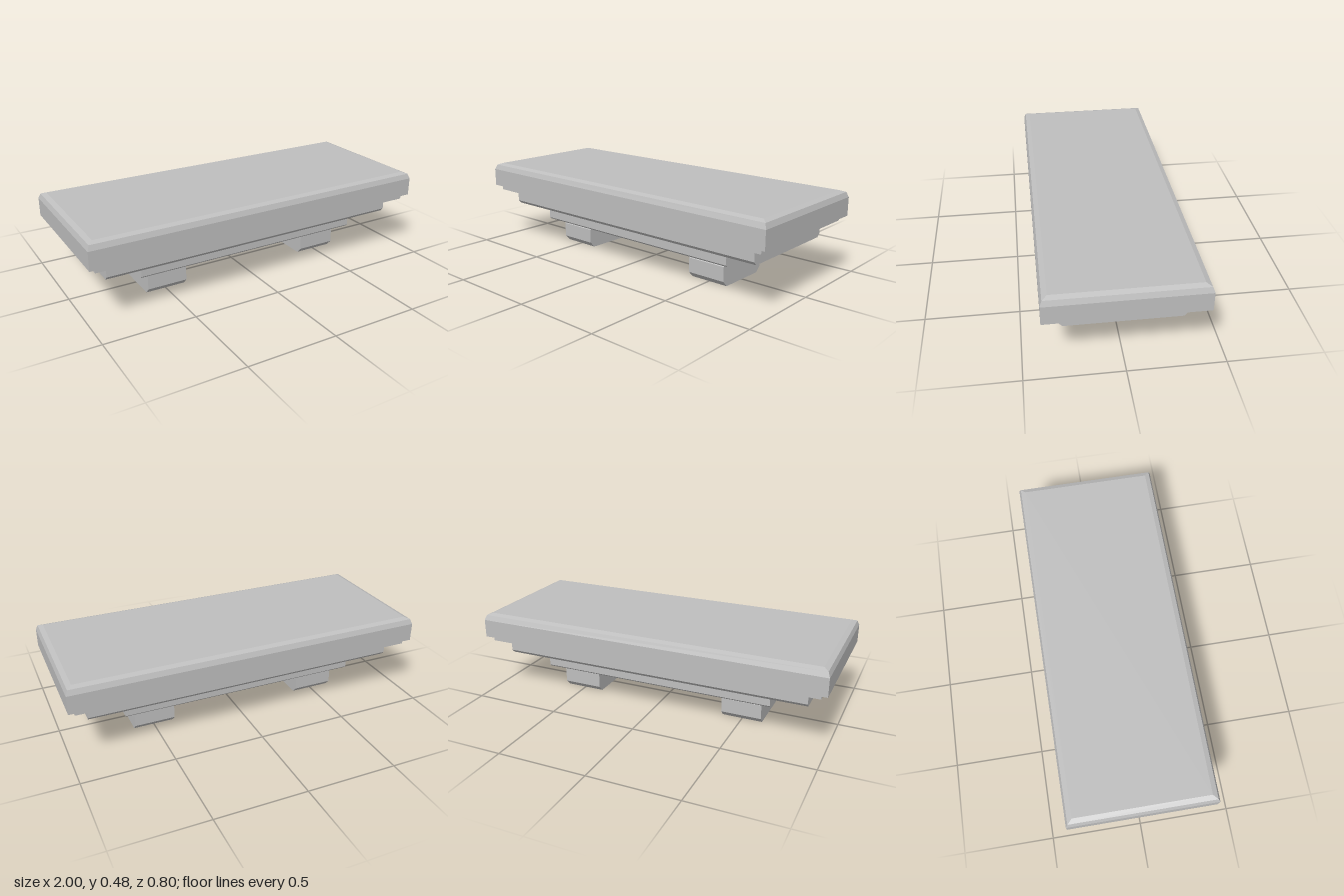
import * as THREE from 'three';

const stone = new THREE.MeshStandardMaterial({ color: 0xbebebe });
stone.name = 'grey stone';

// Symmetric side profile, given as [half depth, height] from bottom to top, extruded along x
function bar(name, profile, width, x = 0) {
  const mirrored = profile.map(([z, y]) => [-z, y]).reverse();
  const shape = new THREE.Shape([...profile, ...mirrored].map(([z, y]) => new THREE.Vector2(z, y)));
  const geo = new THREE.ExtrudeGeometry(shape, { depth: width, bevelEnabled: false });
  geo.translate(0, 0, -width / 2).rotateY(Math.PI / 2).translate(x, 0, 0);
  const mesh = new THREE.Mesh(geo, stone);
  mesh.name = name;
  return mesh;
}

// Stack of rectangular rings [inset, height], with flat faces and mitred corners
function mitredSlab(name, halfX, halfZ, rings) {
  const pos = [];
  const loops = rings.map(([inset, y]) => {
    const x = halfX - inset, z = halfZ - inset;
    return [[-x, y, z], [x, y, z], [x, y, -z], [-x, y, -z]];
  });
  const quad = (a, b, c, d) => pos.push(...a, ...b, ...c, ...a, ...c, ...d);
  for (let i = 0; i < loops.length - 1; i++) {
    for (let k = 0; k < 4; k++) {
      const n = (k + 1) % 4;
      quad(loops[i][k], loops[i][n], loops[i + 1][n], loops[i + 1][k]);
    }
  }
  quad(...loops[loops.length - 1]);
  quad(...[...loops[0]].reverse());
  const geo = new THREE.BufferGeometry();
  geo.setAttribute('position', new THREE.Float32BufferAttribute(pos, 3));
  geo.computeVertexNormals();
  const mesh = new THREE.Mesh(geo, stone);
  mesh.name = name;
  return mesh;
}

export function createModel() {
  const group = new THREE.Group();
  group.name = 'steppedBench';

  // Top slab with a two-step bevel around its upper rim
  group.add(mitredSlab('topSlab', 1, 0.4, [[0, 0.342], [0, 0.444], [0.011, 0.472], [0.037, 0.482]]));

  // Stepped layers below the slab
  group.add(bar('trimLayer', [[0.375, 0.314], [0.375, 0.342]], 1.93));
  group.add(bar('upperStep', [[0.295, 0.224], [0.313, 0.243], [0.313, 0.314]], 1.78));
  group.add(bar('lowerStep', [[0.228, 0.145], [0.24, 0.156], [0.24, 0.224]], 1.355));

  // Pair of chamfered feet
  const foot = [[0.14, 0], [0.17, 0.032], [0.17, 0.114], [0.139, 0.145]];
  for (const [name, x] of [['leftFoot', 0.5], ['rightFoot', -0.5]]) {
    group.add(bar(name, foot, 0.228, x));
  }
  return group;
}
